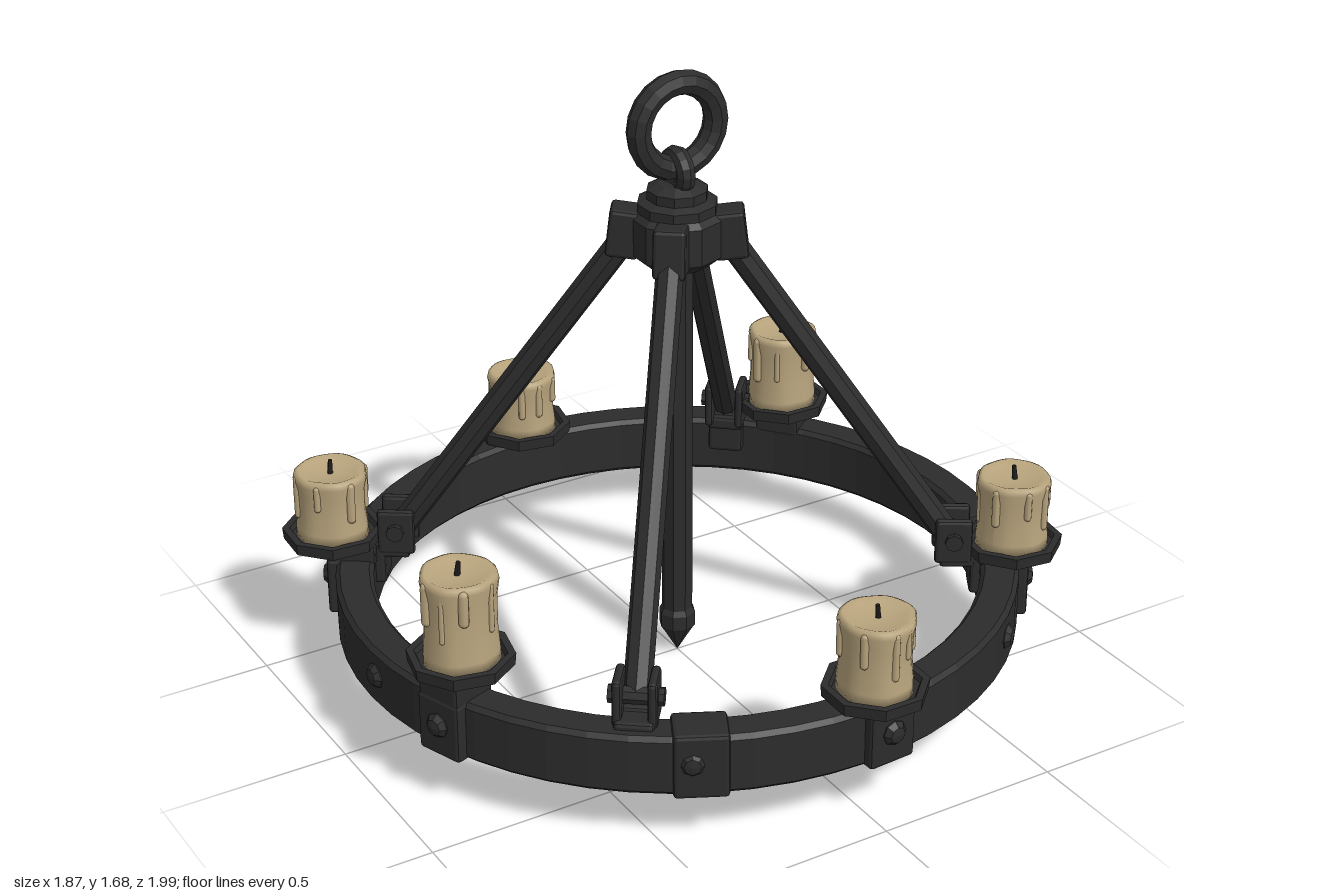
import * as THREE from 'three';
import { RoundedBoxGeometry } from 'three/addons/geometries/RoundedBoxGeometry.js';

const iron = new THREE.MeshStandardMaterial({ color: 0x2c2c2d, flatShading: true });
iron.name = 'wroughtIron';
const wax = new THREE.MeshStandardMaterial({ color: 0xb9a57e });
wax.name = 'candleWax';
const char = new THREE.MeshStandardMaterial({ color: 0x1d1b19 });
char.name = 'charredWick';

function add(parent, name, geometry, material, x = 0, y = 0, z = 0) {
  const mesh = new THREE.Mesh(geometry, material);
  mesh.name = name;
  mesh.position.set(x, y, z);
  parent.add(mesh);
  return mesh;
}

const block = (w, h, d) => new RoundedBoxGeometry(w, h, d, 1, 0.01);

function lathe(points, segments) {
  return new THREE.LatheGeometry(points.map(([r, y]) => new THREE.Vector2(r, y)), segments);
}

// Group whose local +z points outwards towards (x, z)
function spoke(parent, name, x, z) {
  const g = new THREE.Group();
  g.name = name;
  g.rotation.y = Math.atan2(x, z);
  parent.add(g);
  return g;
}

// Round bar between two points
function bar(parent, name, a, b, radius) {
  const dir = b.clone().sub(a);
  const mesh = add(parent, name, new THREE.CylinderGeometry(radius, radius, dir.length(), 8), iron);
  mesh.position.copy(a).add(b).multiplyScalar(0.5);
  mesh.quaternion.setFromUnitVectors(new THREE.Vector3(0, 1, 0), dir.normalize());
  return mesh;
}

// Domed bolt head facing local +z
function bolt(parent, y, z) {
  const geo = lathe([[0.034, -0.015], [0.034, 0.006], [0.022, 0.02], [0, 0.024]], 8);
  add(parent, 'bolt', geo, iron, 0, y, z).rotation.x = Math.PI / 2;
}

function candle(parent, x, base, z, top, seed) {
  const g = new THREE.Group();
  g.name = 'candle';
  g.position.set(x, base, z);
  g.rotation.y = seed * 1.7;
  parent.add(g);
  const h = top - base;
  // Uneven wax body with a softly dished top
  const geo = lathe([[0, 0], [0.097, 0], [0.096, 0.03], [0.091, h * 0.4], [0.092, h * 0.75], [0.098, h - 0.02],
    [0.095, h - 0.005], [0.085, h], [0.07, h - 0.007], [0.03, h - 0.012], [0, h - 0.012]], 32);
  const p = geo.attributes.position;
  for (let i = 0; i < p.count; i++) {
    const a = Math.atan2(p.getX(i), p.getZ(i));
    const s = 1 + 0.02 * Math.sin(3 * a + seed) + 0.015 * Math.sin(7 * a + seed * 2);
    p.setX(i, p.getX(i) * s);
    p.setZ(i, p.getZ(i) * s);
  }
  geo.computeVertexNormals();
  add(g, 'waxBody', geo, wax);
  // Drips of different lengths running down from the rim
  for (let i = 0; i < 8; i++) {
    const a = i * 0.785 + 0.2 * Math.sin(i * 5 + seed);
    const len = h * (0.3 + 0.25 * (1 + Math.sin(i * 2.4 + seed)) / 2);
    const r = 0.011 + 0.003 * Math.sin(i * 3 + seed);
    add(g, 'waxDrip', new THREE.CapsuleGeometry(r, len, 3, 8), wax,
      Math.sin(a) * 0.091, h - 0.02 - len / 2, Math.cos(a) * 0.091);
  }
  add(g, 'wick', new THREE.CylinderGeometry(0.006, 0.008, 0.04, 6), char, 0, h + 0.005, 0).rotation.z = 0.12;
}

export function createModel() {
  const model = new THREE.Group();
  model.name = 'candleChandelier';

  // Slightly tilted iron hoop
  const hoop = new THREE.Group();
  hoop.name = 'hoop';
  hoop.position.y = 0.217;
  hoop.rotation.x = -0.013;
  model.add(hoop);
  add(hoop, 'hoopBand', lathe([[0.815, -0.07], [0.827, -0.082], [0.905, -0.082], [0.917, -0.07],
    [0.917, 0.07], [0.905, 0.082], [0.827, 0.082], [0.815, 0.07], [0.815, -0.07]], 56), iron);
  for (const [x, z] of [[-0.93, 0.03], [0.93, -0.02], [0.43, -0.8], [0.57, 0.72], [-0.44, 0.8]]) {
    bolt(spoke(hoop, 'hoopBolt', x, z), 0.01, 0.912);
  }
  // Strap covering the hoop joint
  add(spoke(hoop, 'hoopJoint', -0.41, 0.79), 'jointStrap', block(0.14, 0.178, 0.12), iron, 0, 0.002, 0.863);

  // Candle holders: x, z, tray top, candle top
  const holders = [
    [-0.005, -0.865, 0.325, 0.49], [0.67, -0.52, 0.385, 0.6], [0.77, 0.46, 0.355, 0.54],
    [0.05, 0.862, 0.345, 0.54], [-0.8, 0.29, 0.4, 0.63], [-0.775, -0.51, 0.365, 0.54],
  ];
  holders.forEach(([x, z, tray, top], i) => {
    const ringY = 0.217 + z * 0.013;
    const s = spoke(model, 'candleHolder', x, z);
    const r = Math.hypot(x, z);
    add(s, 'holderBracket', block(0.135, 0.165, 0.055), iron, 0, ringY + 0.002, 0.915);
    const neck = tray - 0.03 - (ringY + 0.06);
    add(s, 'holderNeck', block(0.13, neck, 0.13), iron, 0, ringY + 0.06 + neck / 2, 0.875);
    bolt(s, ringY + 0.01, 0.94);
    const dish = lathe([[0, -0.045], [0.105, -0.045], [0.135, -0.032], [0.138, 0], [0.118, 0],
      [0.112, -0.014], [0, -0.014]], 8);
    add(s, 'dripTray', dish, iron, 0, tray, r).rotation.y = 0.2 + i * 0.3;
    candle(model, x, tray - 0.016, z, top, i + 1);
  });

  // Stay rods from the hub down to clevises on the hoop
  for (const [x, z] of [[-0.62, -0.43], [0.53, -0.6], [0.63, 0.385], [-0.505, 0.645]]) {
    const s = spoke(model, 'stay', x, z);
    const r = Math.hypot(x, z);
    bar(s, 'stayRod', new THREE.Vector3(0, 1.25, 0.115), new THREE.Vector3(0, 0.36, r - 0.01), 0.036);
    add(s, 'hubLug', block(0.085, 0.13, 0.085), iron, 0, 1.245, 0.135).rotation.x = -0.12;
    add(s, 'clevisBase', block(0.1, 0.13, 0.04), iron, 0, 0.27, 0.805);
    for (const side of [-1, 1]) {
      add(s, 'clevisCheek', block(0.024, 0.13, 0.1), iron, side * 0.044, 0.365, r);
    }
    add(s, 'clevisSeat', block(0.1, 0.04, 0.1), iron, 0, 0.305, r + 0.015);
    add(s, 'clevisPin', new THREE.CylinderGeometry(0.024, 0.024, 0.14, 8), iron, 0, 0.37, r)
      .rotation.z = Math.PI / 2;
  }

  // Hub with stepped cap
  add(model, 'hub', lathe([[0, 1.16], [0.085, 1.16], [0.12, 1.19], [0.12, 1.29], [0.105, 1.305], [0.105, 1.33],
    [0.08, 1.34], [0.08, 1.365], [0.05, 1.38], [0, 1.38]], 10), iron);

  // Central rod with pointed finial
  add(model, 'centreRod', lathe([[0, 0], [0.04, 0.07], [0.05, 0.085], [0.05, 0.125], [0.042, 0.14],
    [0.042, 1.2]], 8), iron);

  // Eye and hanging ring
  add(model, 'hangingEye', new THREE.TorusGeometry(0.042, 0.025, 8, 16), iron, 0, 1.41, 0)
    .rotation.y = Math.PI / 2;
  add(model, 'hangingRing', new THREE.TorusGeometry(0.113, 0.033, 8, 20), iron, 0, 1.533, 0);

  return model;
}
